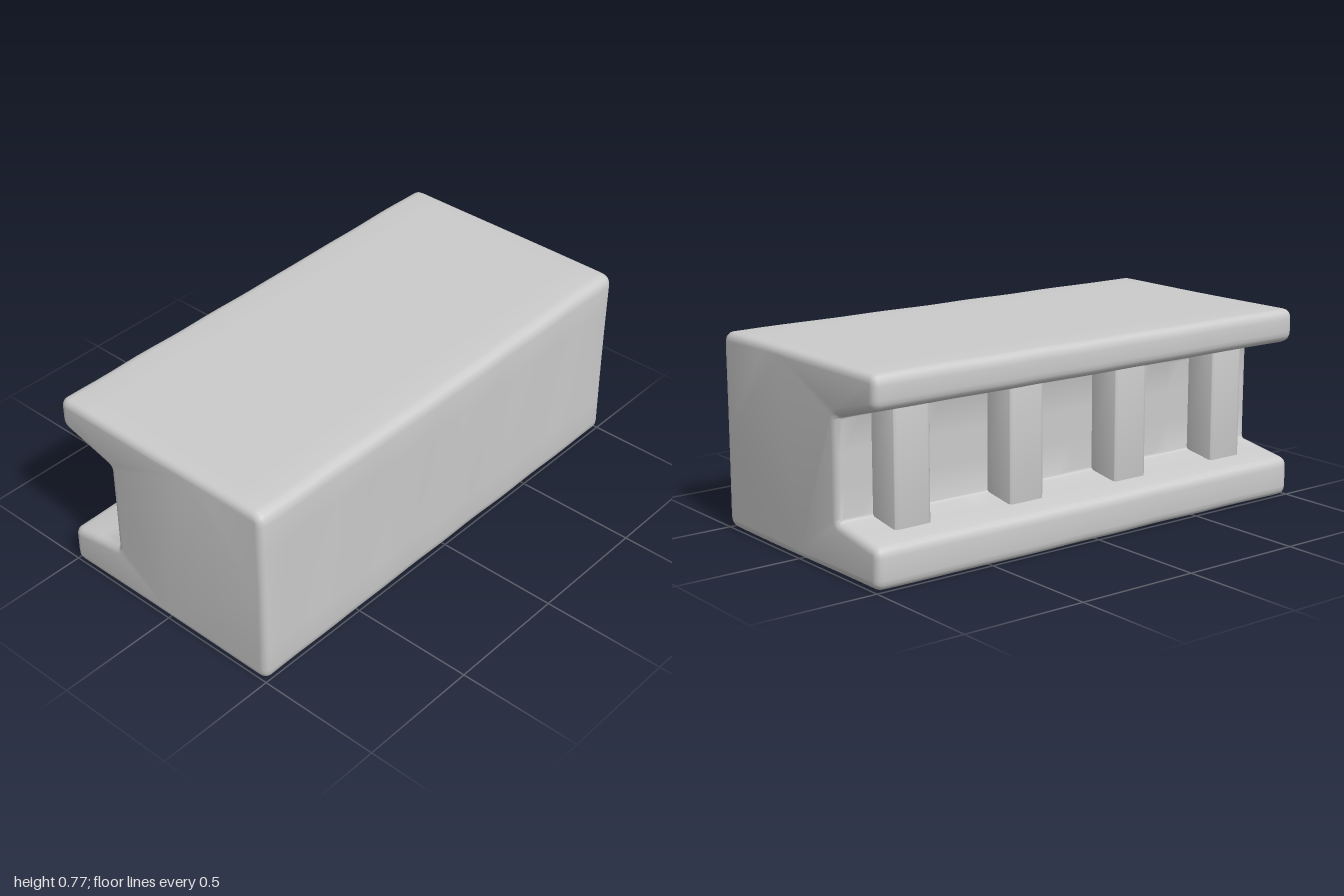
import * as THREE from 'three';
import { mergeVertices, toCreasedNormals } from 'three/addons/utils/BufferGeometryUtils.js';
import { RoundedBoxGeometry } from 'three/addons/geometries/RoundedBoxGeometry.js';

const BEVEL = 0.03;

// Corners [x, y, radius], rounded and then subdivided along the straight runs
function roundedOutline(corners, maxStep) {
  const pts = corners.map(([x, y]) => new THREE.Vector2(x, y));
  const n = pts.length;
  const ring = [];
  pts.forEach((p, i) => {
    const r = corners[i][2];
    const toward = (q) => p.clone().add(q.clone().sub(p).setLength(r));
    const a = toward(pts[(i + n - 1) % n]);
    const b = toward(pts[(i + 1) % n]);
    ring.push(...new THREE.QuadraticBezierCurve(a, p, b).getPoints(4));
  });
  const out = [];
  ring.forEach((p, i) => {
    const q = ring[(i + 1) % ring.length];
    const steps = Math.max(1, Math.ceil(p.distanceTo(q) / maxStep));
    for (let k = 0; k < steps; k++) out.push(p.clone().lerp(q, k / steps));
  });
  return new THREE.Shape(out);
}

// Gentle worn unevenness, depending only on position so seams stay closed
function wear(geometry, amount) {
  const pos = geometry.attributes.position;
  for (let i = 0; i < pos.count; i++) {
    const x = pos.getX(i), y = pos.getY(i), z = pos.getZ(i);
    const a = Math.sin(7 * z + 5 * y) * Math.sin(4 * x - 11 * z + 1);
    const b = Math.sin(9 * z - 6 * x + 2) * Math.sin(5 * z + 7 * y);
    pos.setXYZ(i,
      x * (1 - amount * (1 + a)),
      0.3825 + (y - 0.3825) * (1 - amount * (1 + b)),
      z);
  }
}

function smooth(geometry, crease) {
  geometry.deleteAttribute('uv');
  geometry.deleteAttribute('normal');
  return toCreasedNormals(mergeVertices(geometry, 1e-4), crease);
}

export function createModel() {
  const group = new THREE.Group();
  group.name = 'channelledBlock';
  const stone = new THREE.MeshStandardMaterial({ color: 0xcccccc, roughness: 0.9 });

  // Block with a tapering channel along its right side
  const outline = roundedOutline([
    [-0.509, 0, 0.04], [0.507, 0, 0.05], [0.507, 0.766, 0.05], [-0.509, 0.766, 0.04],
    [-0.509, 0.641, 0.035], [-0.26, 0.575, 0.012], [-0.26, 0.194, 0.012], [-0.509, 0.154, 0.035],
  ], 0.13);
  const depth = 2 - 2 * BEVEL;
  const body = new THREE.ExtrudeGeometry(outline, {
    depth, steps: 28, bevelEnabled: true, bevelSize: BEVEL, bevelThickness: BEVEL,
    bevelOffset: -BEVEL, bevelSegments: 4,
  });
  body.translate(0, 0, -depth / 2);
  wear(body, 0.004);
  const block = new THREE.Mesh(smooth(body, 0.8), stone);
  block.name = 'block';
  group.add(block);

  // Four upright ribs standing in the channel, slightly flared at head and foot
  [-0.77, -0.26, 0.245, 0.75].forEach((z, i) => {
    const rib = new RoundedBoxGeometry(0.195, 0.54, 0.14, 2, 0.014);
    const pos = rib.attributes.position;
    for (let k = 0; k < pos.count; k++) {
      const t = pos.getY(k) / 0.27;
      pos.setZ(k, pos.getZ(k) * (0.97 + 0.18 * t * t));
    }
    const mesh = new THREE.Mesh(smooth(rib, 0.8), stone);
    mesh.name = `rib${i + 1}`;
    mesh.position.set(-0.2975, 0.39, z);
    group.add(mesh);
  });

  return group;
}
